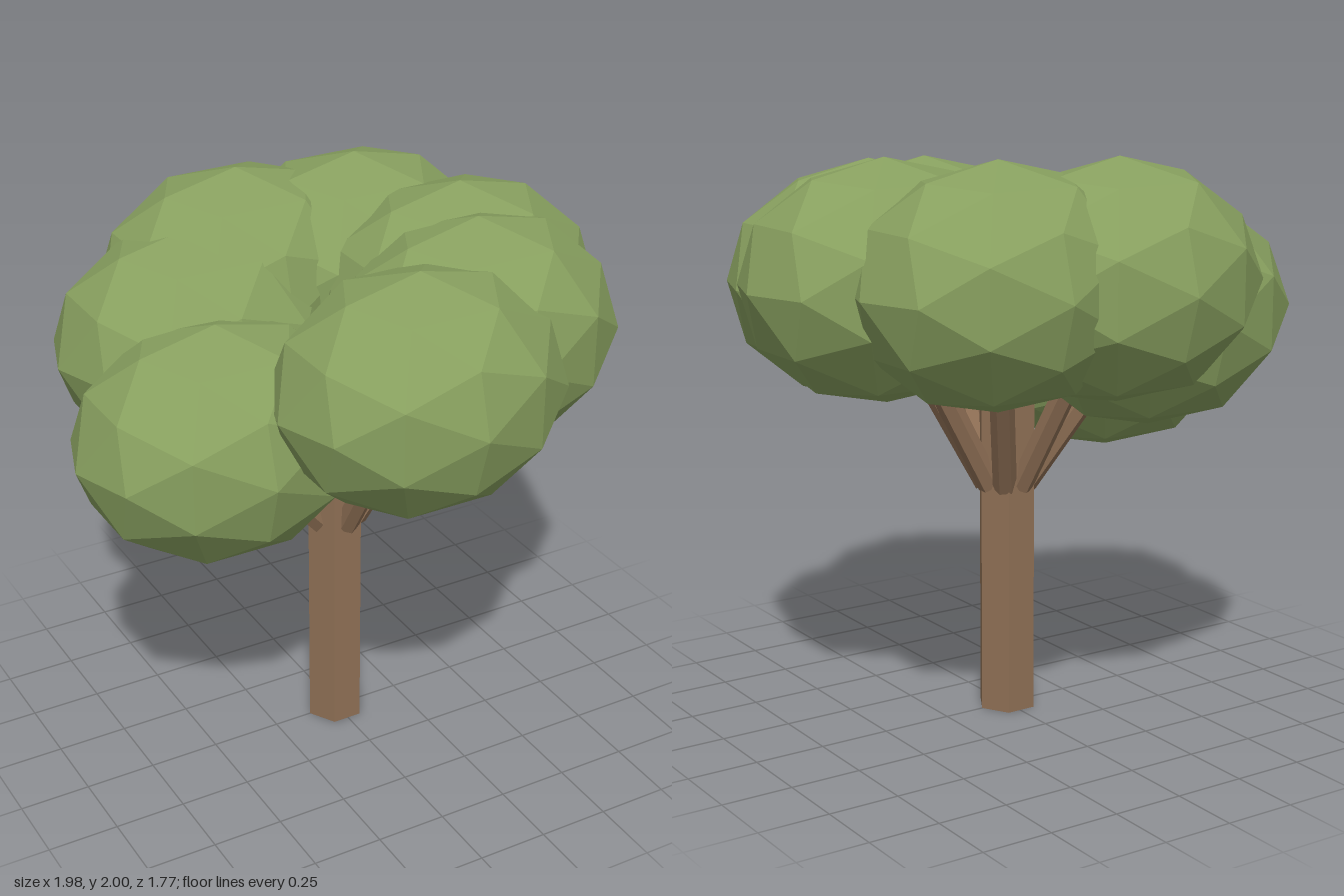
import * as THREE from 'three';

export function createModel() {
  const tree = new THREE.Group();
  tree.name = 'tree';
  const bark = new THREE.MeshStandardMaterial({ color: 0x8f7055, flatShading: true });
  bark.name = 'bark brown';
  const leaf = new THREE.MeshStandardMaterial({ color: 0x88a05f, flatShading: true });
  leaf.name = 'leaf green';

  const add = (name, geometry, material) => {
    const mesh = new THREE.Mesh(geometry, material);
    mesh.name = name;
    tree.add(mesh);
    return mesh;
  };

  // Hexagonal trunk with corners on the x axis
  const trunkHeight = 1.165;
  const trunk = add('trunk', new THREE.CylinderGeometry(0.106, 0.106, trunkHeight, 6), bark);
  trunk.rotation.y = Math.PI / 2;
  trunk.position.set(-0.004, trunkHeight / 2, 0);

  // Centres of the leaf clumps, clockwise from the front
  const clumps = [
    [0.04, 1.52, 0.465],
    [-0.48, 1.293, 0.065],
    [-0.36, 1.46, -0.34],
    [-0.13, 1.585, -0.467],
    [0.29, 1.59, -0.39],
    [0.48, 1.577, -0.005],
    [0.4, 1.55, 0.235],
  ];
  const clumpGeometry = new THREE.IcosahedronGeometry(1, 1).scale(0.508, 0.408, 0.421);
  const branchLength = 0.55;
  const branchGeometry = new THREE.CylinderGeometry(0.042, 0.042, branchLength, 6)
    .translate(0, branchLength / 2, 0);
  const up = new THREE.Vector3(0, 1, 0);

  for (const [x, y, z] of clumps) {
    const centre = new THREE.Vector3(x, y, z);
    add('leafClump', clumpGeometry, leaf).position.copy(centre);

    // Branch from the side of the trunk into its clump
    const branch = add('branch', branchGeometry, bark);
    branch.position.set(x, 0, z).setLength(0.068).setY(0.82);
    const direction = centre.sub(branch.position).normalize();
    branch.quaternion.setFromUnitVectors(up, direction);
  }
  return tree;
}
